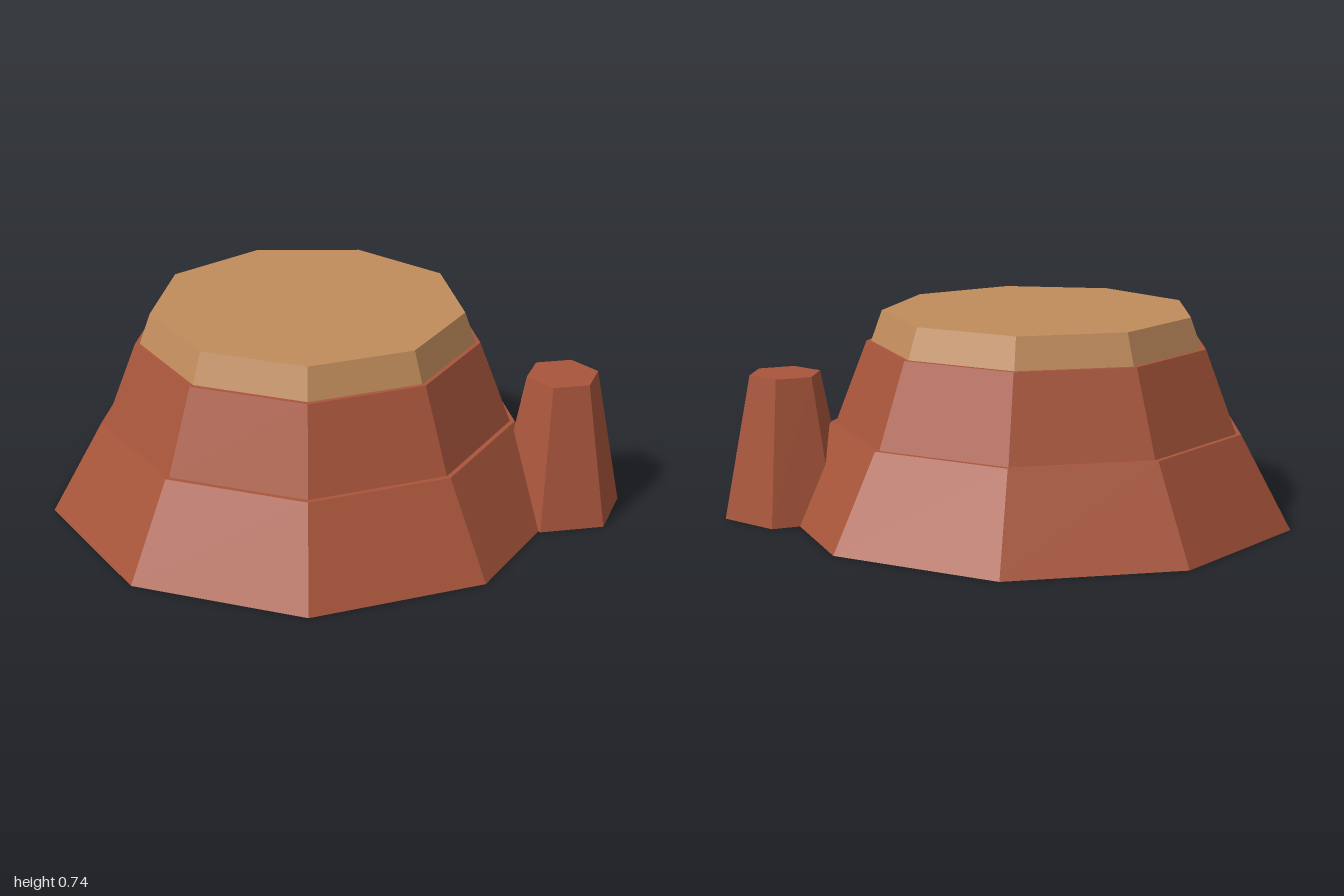
import * as THREE from 'three';

export function createModel() {
  const model = new THREE.Group();
  model.name = 'mesa';

  const redRock = new THREE.MeshStandardMaterial({ color: 0xa8553b, flatShading: true });
  redRock.name = 'redRock';
  const sandstone = new THREE.MeshStandardMaterial({ color: 0xc08c5c, flatShading: true });
  sandstone.name = 'sandstone';

  // One tapered rock layer with a corner pointing to the back
  function layer(name, material, sides, bottomR, topR, y0, y1, x, z) {
    const geometry = new THREE.CylinderGeometry(topR, bottomR, y1 - y0, sides);
    geometry.rotateY(Math.PI);
    const mesh = new THREE.Mesh(geometry, material);
    mesh.name = name;
    mesh.position.set(x, (y0 + y1) / 2, z);
    model.add(mesh);
  }

  // Stepped main butte
  const cx = -0.086, cz = 0.025;
  layer('lowerTier', redRock, 9, 0.928, 0.745, 0, 0.33, cx, cz);
  layer('upperTier', redRock, 9, 0.727, 0.614, 0.33, 0.625, cx, cz);
  layer('capRock', sandstone, 9, 0.597, 0.558, 0.625, 0.735, cx, cz);

  // Small spire beside it
  layer('spire', redRock, 6, 0.231, 0.13, 0, 0.515, 0.8, -0.158);

  return model;
}
